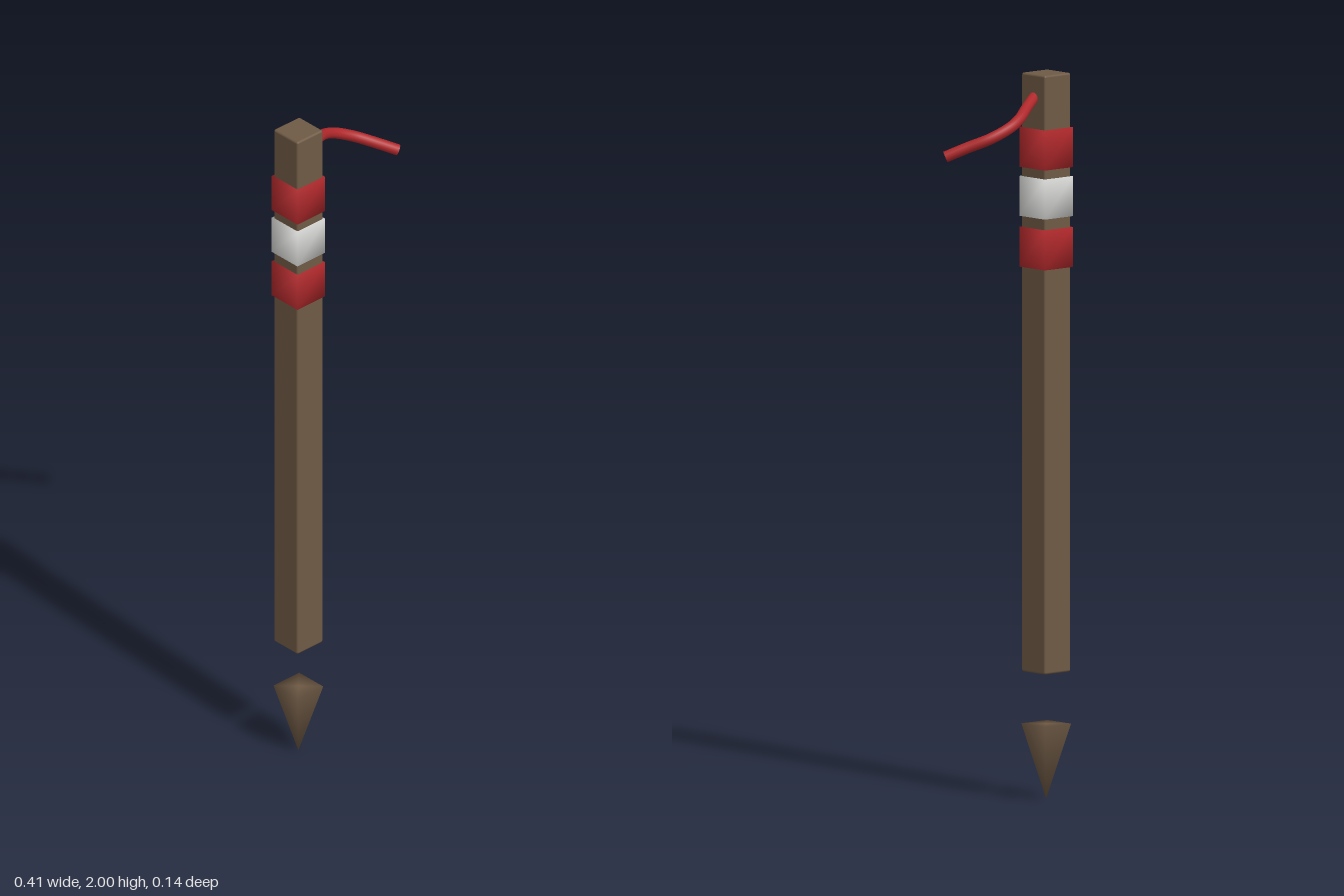
import * as THREE from 'three';
import { mergeVertices } from 'three/addons/utils/BufferGeometryUtils.js';
import { RoundedBoxGeometry } from 'three/addons/geometries/RoundedBoxGeometry.js';

const POST_X = -0.153, POST_Z = 0.015;

// Weld corners so the shading runs smoothly around them
function soften(geometry) {
  geometry.deleteAttribute('normal');
  geometry.deleteAttribute('uv');
  const welded = mergeVertices(geometry, 1e-4);
  welded.computeVertexNormals();
  return welded;
}

export function createModel() {
  const group = new THREE.Group();
  const material = (name, color) => {
    const m = new THREE.MeshStandardMaterial({ color });
    m.name = name;
    return m;
  };
  const wood = material('brown wood', 0x6f5a45);
  const red = material('red', 0xb0282b);
  const white = material('white', 0xd8d8d6);

  const add = (name, geometry, mat, x, y, z) => {
    const mesh = new THREE.Mesh(geometry, mat);
    mesh.name = name;
    mesh.position.set(x, y, z);
    group.add(mesh);
    return mesh;
  };

  // Square post with slightly eased edges
  add('post', new RoundedBoxGeometry(0.096, 1.65, 0.096, 2, 0.006), wood, POST_X, 1.175, POST_Z);

  // Four-sided point, separated from the post by a gap
  const tip = new THREE.ConeGeometry(0.048 * Math.SQRT2, 0.207, 4);
  tip.rotateY(Math.PI / 4);
  tip.rotateX(Math.PI);
  add('tip', soften(tip), wood, POST_X, 0.1035, POST_Z);

  // Painted bands
  [['upperBand', 1.795, red], ['middleBand', 1.66, white], ['lowerBand', 1.52, red]].forEach(([name, y, mat]) => {
    add(name, soften(new THREE.BoxGeometry(0.103, 0.11, 0.103)), mat, POST_X, y, POST_Z);
  });

  // Cord curving back and down from the post's left side
  const path = new THREE.CatmullRomCurve3([
    [-0.108, 1.936, 0.015], [-0.05, 1.914, -0.017], [0, 1.893, -0.045], [0.045, 1.873, -0.054],
    [0.1, 1.847, -0.037], [0.148, 1.823, 0.003], [0.194, 1.798, 0.042],
  ].map((p) => new THREE.Vector3(...p)));
  const cord = new THREE.Group();
  cord.name = 'cord';
  const tube = new THREE.Mesh(new THREE.TubeGeometry(path, 32, 0.0155, 10), red);
  tube.name = 'cordTube';
  cord.add(tube);
  // Flat ends of the cord
  [[0, -1, 'cordStart'], [1, 1, 'cordEnd']].forEach(([t, sign, name]) => {
    const end = new THREE.Mesh(new THREE.CircleGeometry(0.0155, 10), red);
    end.name = name;
    end.position.copy(path.getPointAt(t));
    end.quaternion.setFromUnitVectors(new THREE.Vector3(0, 0, 1), path.getTangentAt(t).multiplyScalar(sign));
    cord.add(end);
  });
  group.add(cord);

  return group;
}
